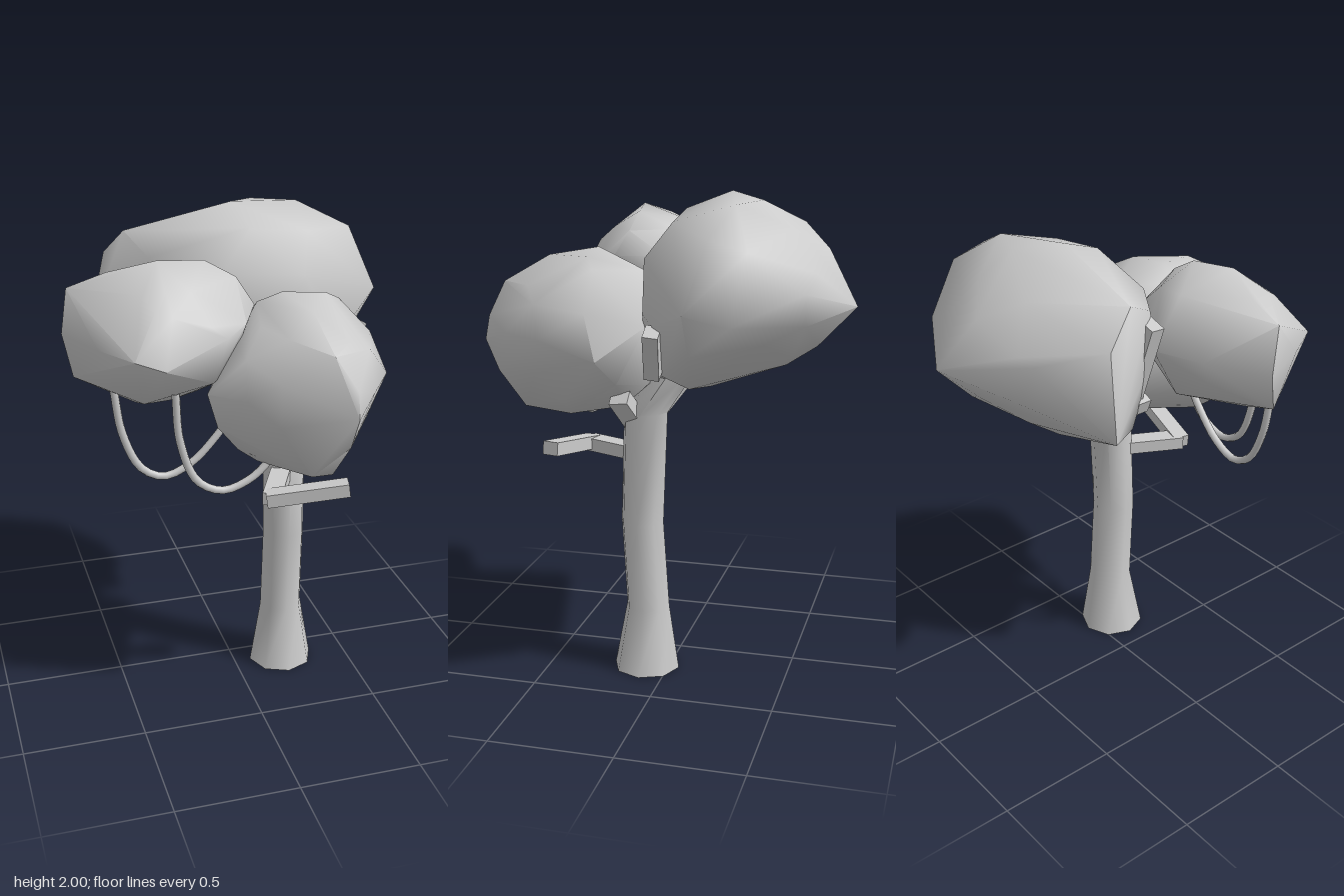
import * as THREE from 'three';
import { mergeVertices, toCreasedNormals } from 'three/addons/utils/BufferGeometryUtils.js';
import { ConvexGeometry } from 'three/addons/geometries/ConvexGeometry.js';

const V = (p) => new THREE.Vector3(...p);

export function createModel() {
  const tree = new THREE.Group();
  tree.name = 'tree';
  const mat = new THREE.MeshStandardMaterial({ color: 0xcccccc });
  const flat = new THREE.MeshStandardMaterial({ color: 0xcccccc, flatShading: true });

  const add = (name, geometry, material = mat) => {
    const mesh = new THREE.Mesh(geometry, material);
    mesh.name = name;
    tree.add(mesh);
    return mesh;
  };

  // Trunk: eight-sided rings [y, x, z, radius], flared at the foot and bent back at the top
  const rings = [
    [0, 0.21, 0.095, 0.14], [0.28, 0.21, 0.088, 0.092], [0.65, 0.21, 0.11, 0.09],
    [1.12, 0.21, 0.093, 0.092], [1.26, 0.2, 0, 0.09], [1.42, 0.19, -0.1, 0.085],
  ];
  const trunk = new THREE.CylinderGeometry(1, 1, 1, 8, rings.length - 1);
  const pos = trunk.attributes.position;
  for (let i = 0; i < pos.count; i++) {
    const row = Math.round((pos.getY(i) + 0.5) * (rings.length - 1));
    const [y, x, z, r] = rings[row];
    pos.setXYZ(i, x + pos.getX(i) * r, y, z + pos.getZ(i) * r);
  }
  trunk.deleteAttribute('normal');
  trunk.deleteAttribute('uv');
  add('trunk', toCreasedNormals(mergeVertices(trunk), 0.9));

  // Square branch between two points; up sets the roll
  const sideUp = [0, 0, 1], levelUp = [0, 1, 0];
  const bar = (name, a, b, w, h, up) => {
    const start = V(a), end = V(b);
    const mesh = add(name, new THREE.BoxGeometry(w, h, start.distanceTo(end)), flat);
    mesh.position.copy(start).add(end).multiplyScalar(0.5);
    mesh.up.set(...up);
    mesh.lookAt(end);
  };
  bar('forkStub', [0.22, 1.07, 0.13], [0.34, 1.2, 0.165], 0.06, 0.08, sideUp);
  bar('rightBranch', [0.2, 1.28, 0.01], [0.49, 1.38, -0.015], 0.06, 0.06, sideUp);
  bar('rightBranch', [0.46, 1.33, -0.01], [0.57, 1.515, -0.035], 0.07, 0.06, sideUp);
  bar('leftBranch', [0.18, 1.13, 0.07], [-0.1, 1.4, -0.12], 0.09, 0.09, sideUp);
  bar('leftBranch', [-0.05, 1.5, -0.13], [-0.28, 1.41, -0.13], 0.06, 0.06, sideUp);
  bar('leftBranch', [-0.22, 1.42, -0.16], [-0.325, 1.78, -0.135], 0.085, 0.06, sideUp);
  // Low elbow branch in front of the trunk
  bar('elbowBranch', [0.2, 0.94, 0.12], [0.07, 0.935, 0.385], 0.08, 0.055, levelUp);
  bar('elbowBranch', [0.05, 0.935, 0.37], [0.37, 0.98, 0.45], 0.07, 0.055, levelUp);

  // Leaf mass: hull of an inner ellipsoid and the outer corner points
  const canopy = (name, centre, half, corners) => {
    const core = new THREE.IcosahedronGeometry(0.82, 1).attributes.position;
    const points = corners.map(V);
    for (let i = 0; i < core.count; i++) {
      points.push(new THREE.Vector3().fromBufferAttribute(core, i).multiply(V(half)).add(V(centre)));
    }
    const hull = new ConvexGeometry(points);
    hull.deleteAttribute('normal');
    add(name, toCreasedNormals(mergeVertices(hull, 1e-4), 1.1));
  };

  canopy('backCanopy', [0.1, 1.625, -0.335], [0.6, 0.375, 0.415], [
    [-0.5, 1.45, -0.44], [-0.43, 1.78, -0.41], [-0.37, 1.9, -0.27], [-0.3, 1.82, -0.12],
    [-0.2, 1.6, 0], [-0.22, 1.7, -0.59], [0.2, 1.58, -0.75], [0.48, 1.66, -0.59],
    [0.46, 1.54, -0.59], [0.63, 1.55, -0.34], [0.7, 1.6, -0.18], [0.55, 1.53, -0.03],
    [0.4, 1.55, 0.05], [0.2, 1.62, 0.09], [-0.02, 1.6, 0.085], [0.07, 2, -0.23],
    [0.38, 1.97, -0.31], [0.6, 1.86, -0.25], [0.6, 1.82, -0.4], [0.25, 1.81, -0.58],
    [0.2, 1.975, -0.38], [0.1, 1.93, -0.05], [0.35, 1.9, -0.06], [0.2, 1.42, -0.6],
    [0.2, 1.34, -0.48], [0.1, 1.25, -0.25], [-0.04, 1.27, -0.36], [0.3, 1.26, -0.2],
    [0.46, 1.28, -0.15], [0.6, 1.43, -0.18], [0.2, 1.29, -0.03], [-0.3, 1.35, -0.2],
    [0.43, 1.32, -0.03], [0.1, 1.45, 0.08], [0.3, 1.45, 0.075], [0.3, 1.75, 0.07],
    [-0.05, 1.78, 0.06],
  ]);
  canopy('leftCanopy', [-0.34, 1.625, 0.225], [0.36, 0.285, 0.325], [
    [-0.68, 1.81, 0.17], [-0.53, 1.86, 0.18], [-0.35, 1.91, 0.25], [-0.16, 1.89, 0.22],
    [-0.04, 1.82, 0.23], [0.02, 1.72, 0.28], [-0.02, 1.6, 0.12], [-0.08, 1.48, 0.3],
    [-0.2, 1.38, 0.25], [-0.3, 1.34, 0.22], [-0.45, 1.36, 0.25], [-0.67, 1.46, 0.18],
    [-0.7, 1.62, 0.13], [-0.5, 1.65, -0.03], [-0.3, 1.65, -0.1], [-0.13, 1.65, 0.45],
    [-0.39, 1.58, 0.55], [-0.5, 1.62, 0.53], [-0.6, 1.62, 0.36], [-0.4, 1.77, 0.43],
    [-0.45, 1.42, 0.43], [-0.3, 1.84, 0.03], [-0.1, 1.6, 0], [-0.03, 1.72, 0.08],
    [-0.2, 1.65, -0.06], [-0.04, 1.68, 0.38], [-0.15, 1.82, 0.06], [-0.3, 1.43, 0.02],
    [-0.1, 1.46, 0.12], [-0.18, 1.47, 0.42],
  ]);
  canopy('frontCanopy', [0.17, 1.435, 0.4], [0.37, 0.335, 0.35], [
    [0.12, 1.77, 0.31], [0.3, 1.75, 0.3], [0.37, 1.71, 0.26], [0.51, 1.56, 0.25],
    [0.54, 1.38, 0.2], [0.46, 1.28, 0.14], [0.51, 1.45, 0.44], [0.4, 1.28, 0.35],
    [0.33, 1.18, 0.4], [0.25, 1.1, 0.4], [0.1, 1.1, 0.45], [0, 1.12, 0.4],
    [-0.08, 1.18, 0.4], [-0.16, 1.28, 0.4], [-0.2, 1.42, 0.4], [-0.08, 1.6, 0.35],
    [0.03, 1.73, 0.28], [0.38, 1.5, 0.04], [0.2, 1.69, 0.09], [0.39, 1.45, 0.62],
    [0.28, 1.4, 0.75], [0.28, 1.5, 0.73], [0.27, 1.27, 0.7], [0.31, 1.63, 0.55],
    [0.2, 1.63, 0.69], [0.24, 1.12, 0.6], [0.15, 1.13, 0.62], [0.02, 1.42, 0.64],
    [-0.14, 1.45, 0.46], [0.18, 1.74, 0.5], [0.15, 1.12, 0.2], [0.3, 1.25, 0.06],
    [0.08, 1.25, 0.05], [0, 1.5, 0.03], [0.15, 1.55, 0], [-0.1, 1.4, 0.18],
  ]);

  // Hanging vines
  const vine = (points) => add('vine',
    new THREE.TubeGeometry(new THREE.CatmullRomCurve3(points.map(V)), 24, 0.016, 8));
  vine([[-0.54, 1.45, 0.3], [-0.51, 1.25, 0.3], [-0.44, 1.1, 0.3], [-0.35, 1.055, 0.3],
    [-0.24, 1.1, 0.3], [-0.14, 1.2, 0.3], [-0.05, 1.32, 0.3]]);
  vine([[-0.33, 1.45, 0.43], [-0.315, 1.25, 0.43], [-0.25, 1.08, 0.43], [-0.15, 1.027, 0.43],
    [-0.05, 1.055, 0.43], [0.02, 1.11, 0.43], [0.08, 1.2, 0.43]]);

  return tree;
}
